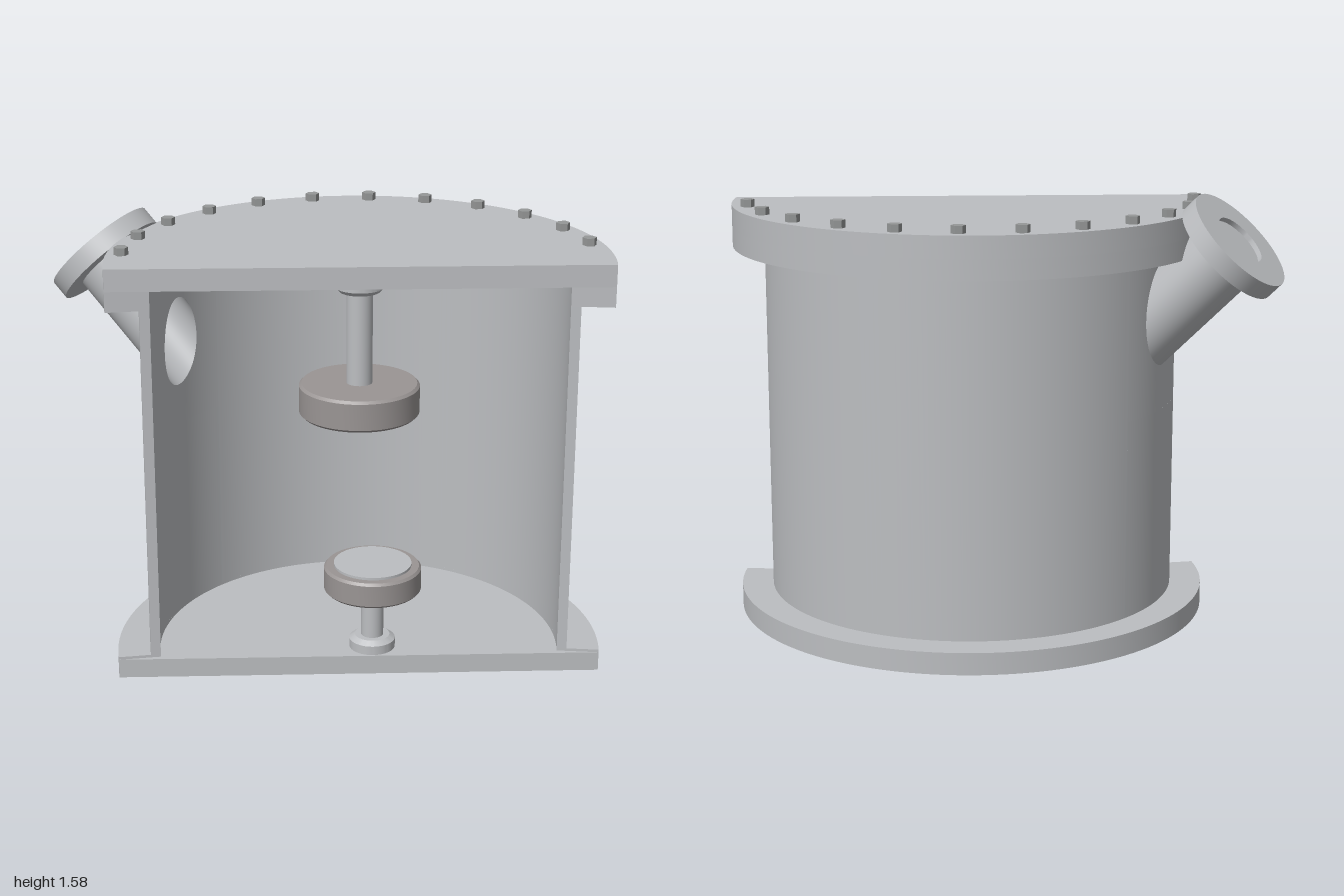
import * as THREE from 'three';
import { toCreasedNormals } from 'three/addons/utils/BufferGeometryUtils.js';
import { ParametricGeometry } from 'three/addons/geometries/ParametricGeometry.js';

const mat = (name, color, side = THREE.FrontSide) => {
  const m = new THREE.MeshStandardMaterial({ color, side });
  m.name = name;
  return m;
};
const rad = THREE.MathUtils.degToRad;

// Main sizes: the vessel is a 195 degree slice around its own axis
const START = 20, END = 215, R_IN = 0.715, R_OUT = 0.75, R_FLANGE = 0.865;
const PORT_HALF = 18, PATCH_LOW = 0.8, PATCH_HIGH = 1.36;

// Slice of a ring (or of a disc when r0 is 0) between two angles and heights
function sector(r0, r1, a0, a1, y0, y1) {
  const s = new THREE.Shape();
  if (r0 === 0) s.moveTo(0, 0);
  s.absarc(0, 0, r1, rad(a0), rad(a1), false);
  if (r0 > 0) s.absarc(0, 0, r0, rad(a1), rad(a0), true);
  s.closePath();
  const g = new THREE.ExtrudeGeometry(s, {
    depth: y1 - y0, bevelEnabled: false, curveSegments: Math.ceil((a1 - a0) / 3),
  });
  g.rotateX(-Math.PI / 2).translate(0, y0, 0);
  return toCreasedNormals(g, 0.5);
}

// Turned part from [radius, height] pairs
function turned(points, segments = 64) {
  const g = new THREE.LatheGeometry(points.map(([x, y]) => new THREE.Vector2(x, y)), segments);
  return toCreasedNormals(g, 0.4);
}

// Point where the 45 degree port bore of radius p meets the wall of radius r
function borePoint(r, p, t) {
  const a = Math.asin((p * Math.cos(t)) / r);
  const x = -r * Math.cos(a);
  return { a, x, y: 0.4 - x + p * Math.SQRT2 * Math.sin(t), z: r * Math.sin(a) };
}

// Curved wall patch with the port opening cut out of it
function wallPatch(r) {
  const clamp = (v) => THREE.MathUtils.clamp(v * Math.SQRT2, -1, 1);
  return new ParametricGeometry((u, v, out) => {
    const t = u * Math.PI * 2, b = borePoint(r, 0.115, t);
    const edgeA = rad(PORT_HALF) * clamp(Math.cos(t));
    const edgeY = (PATCH_LOW + PATCH_HIGH) / 2 + ((PATCH_HIGH - PATCH_LOW) / 2) * clamp(Math.sin(t));
    const a = THREE.MathUtils.lerp(b.a, edgeA, v), y = THREE.MathUtils.lerp(b.y, edgeY, v);
    out.set(-r * Math.cos(a), y, r * Math.sin(a));
  }, 64, 8);
}

// Port tube surface from the wall to the back of the port flange
function portSurface(r, p) {
  return new ParametricGeometry((u, v, out) => {
    const t = u * Math.PI * 2, b = borePoint(r, p, t);
    const n = p * Math.SQRT1_2 * Math.sin(t);
    out.set(
      THREE.MathUtils.lerp(b.x, -0.982 + n, v),
      THREE.MathUtils.lerp(b.y, 1.382 + n, v),
      p * Math.cos(t));
  }, 64, 4);
}

export function createModel() {
  const model = new THREE.Group();
  model.name = 'vacuumChamber';
  const steel = mat('steel', 0xbcbec1);
  const steelSheet = mat('steelSheet', 0xbcbec1, THREE.DoubleSide);
  const darkMetal = mat('darkMetal', 0x9a9594);
  const boltMetal = mat('boltMetal', 0x969898);

  const body = new THREE.Group();
  body.name = 'body';
  body.position.set(0.18, 0, 0.18);
  model.add(body);

  const add = (parent, name, geometry, material, x = 0, y = 0, z = 0) => {
    const m = new THREE.Mesh(geometry, material);
    m.name = name;
    m.position.set(x, y, z);
    parent.add(m);
    return m;
  };

  // Floor, flanges and lid
  add(body, 'floorPlate', sector(0, R_FLANGE, START, END, 0, 0.07), steel);
  add(body, 'bottomFlange', sector(R_IN, R_FLANGE, START, END, 0.07, 0.08), steel);
  add(body, 'topFlange', sector(R_IN, R_FLANGE, START, END, PATCH_HIGH, 1.432), steel);
  add(body, 'lid', sector(0, R_FLANGE, START, END, 1.432, 1.51), steel);

  // Wall, split around the port opening
  const p0 = 180 - PORT_HALF, p1 = 180 + PORT_HALF;
  add(body, 'mainWall', sector(R_IN, R_OUT, START, p0, 0.08, PATCH_HIGH), steel);
  add(body, 'wallBelowPort', sector(R_IN, R_OUT, p0, p1, 0.08, PATCH_LOW), steel);
  add(body, 'wallEnd', sector(R_IN, R_OUT, p1, END, 0.08, PATCH_HIGH), steel);
  add(body, 'portWallInside', wallPatch(R_IN), steelSheet);
  add(body, 'portWallOutside', wallPatch(R_OUT), steelSheet);

  // Lid bolts
  const boltGeometry = toCreasedNormals(new THREE.CylinderGeometry(0.025, 0.025, 0.027, 6), 0.3);
  for (let i = 0; i < 12; i++) {
    const a = rad(37.5 + 15 * i);
    add(body, 'bolt', boltGeometry, boltMetal, 0.812 * Math.cos(a), 1.5235, -0.812 * Math.sin(a));
  }

  // Slanted viewing port
  const port = new THREE.Group();
  port.name = 'viewPort';
  body.add(port);
  add(port, 'portTube', portSurface(R_OUT, 0.132), steelSheet);
  add(port, 'portBore', portSurface(R_IN, 0.115), steelSheet);
  const flange = add(port, 'portFlange', turned([
    [0, 0], [0.21, 0], [0.21, 0.068], [0.1, 0.068], [0.1, 0.05], [0, 0.05],
  ]), steel, -0.982, 1.382, 0);
  flange.rotation.z = Math.PI / 4;

  // Upper holder hanging from the lid
  const upper = new THREE.Group();
  upper.name = 'upperHolder';
  body.add(upper);
  add(upper, 'upperMount', turned([[0, 1.395], [0.07, 1.395], [0.085, 1.41], [0.085, 1.432]]), steel);
  add(upper, 'upperStem', new THREE.CylinderGeometry(0.045, 0.045, 0.34, 40), steel, 0, 1.235);
  add(upper, 'upperDisc', turned([
    [0, 0.955], [0.2, 0.955], [0.209, 0.964], [0.209, 1.058], [0.2, 1.067], [0, 1.067],
  ]), darkMetal);
  for (const x of [-0.08, 0.08]) {
    add(upper, 'upperStud', new THREE.CylinderGeometry(0.022, 0.015, 0.012, 16), darkMetal, x, 0.95);
  }

  // Lower holder standing on the floor
  const lower = new THREE.Group();
  lower.name = 'lowerHolder';
  lower.position.x = 0.055;
  body.add(lower);
  add(lower, 'lowerMount', turned([[0.082, 0.069], [0.082, 0.103], [0.062, 0.117], [0, 0.117]]), steel);
  add(lower, 'lowerStem', new THREE.CylinderGeometry(0.04, 0.04, 0.19, 40), steel, 0, 0.205);
  add(lower, 'lowerDisc', turned([
    [0, 0.295], [0.165, 0.295], [0.173, 0.303], [0.173, 0.38], [0.165, 0.389], [0, 0.389],
  ]), darkMetal);
  add(lower, 'lowerTarget', new THREE.CylinderGeometry(0.138, 0.138, 0.012, 64), steel, 0, 0.392);

  return model;
}
